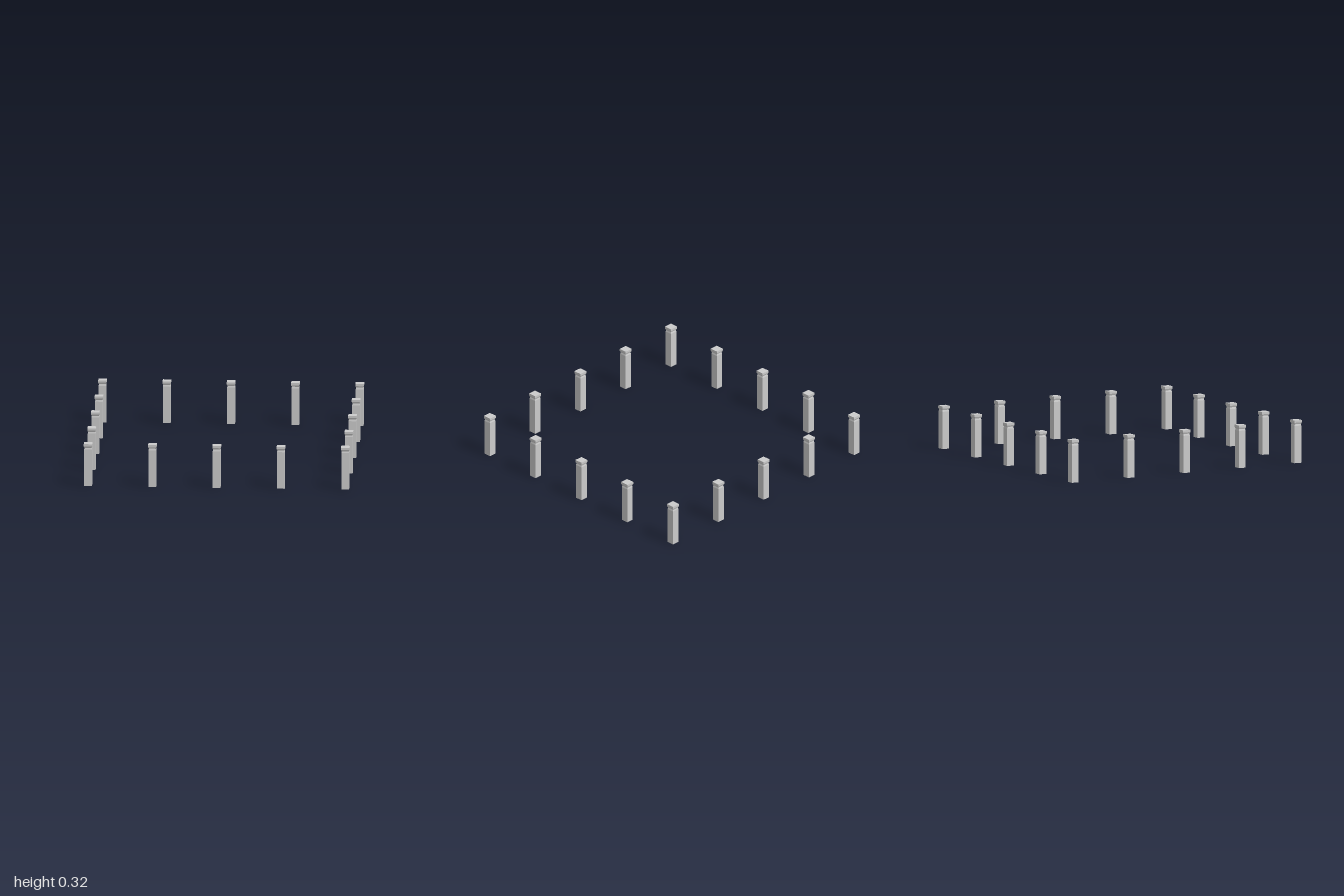
import * as THREE from 'three';

const material = new THREE.MeshStandardMaterial({ color: 0xcccccc, flatShading: true });

// Square solid turned from a profile of [half width, height] pairs
function squareTurned(profile) {
  const points = profile.map(([half, y]) => new THREE.Vector2(half * Math.SQRT2, y));
  return new THREE.LatheGeometry(points, 4, Math.PI / 4);
}

// Straight shaft with a chamfered neck
const shaftGeometry = squareTurned([
  [0, 0], [0.029, 0], [0.029, 0.283], [0.025, 0.297], [0, 0.297],
]);

// Flared cap with a flat top
const capGeometry = squareTurned([
  [0, 0.296], [0.027, 0.296], [0.032, 0.308], [0.032, 0.325], [0, 0.325],
]);

function createPost(x, z) {
  const post = new THREE.Group();
  post.name = 'post';
  const shaft = new THREE.Mesh(shaftGeometry, material);
  shaft.name = 'shaft';
  const cap = new THREE.Mesh(capGeometry, material);
  cap.name = 'cap';
  post.add(shaft, cap);
  post.position.set(x, 0, z);
  return post;
}

export function createModel() {
  const model = new THREE.Group();
  model.name = 'postRing';

  // Five posts per side around the edge of a square
  const pitch = 0.484;
  for (let i = -2; i <= 2; i++) {
    for (let j = -2; j <= 2; j++) {
      if (Math.max(Math.abs(i), Math.abs(j)) === 2) model.add(createPost(i * pitch, j * pitch));
    }
  }
  return model;
}
